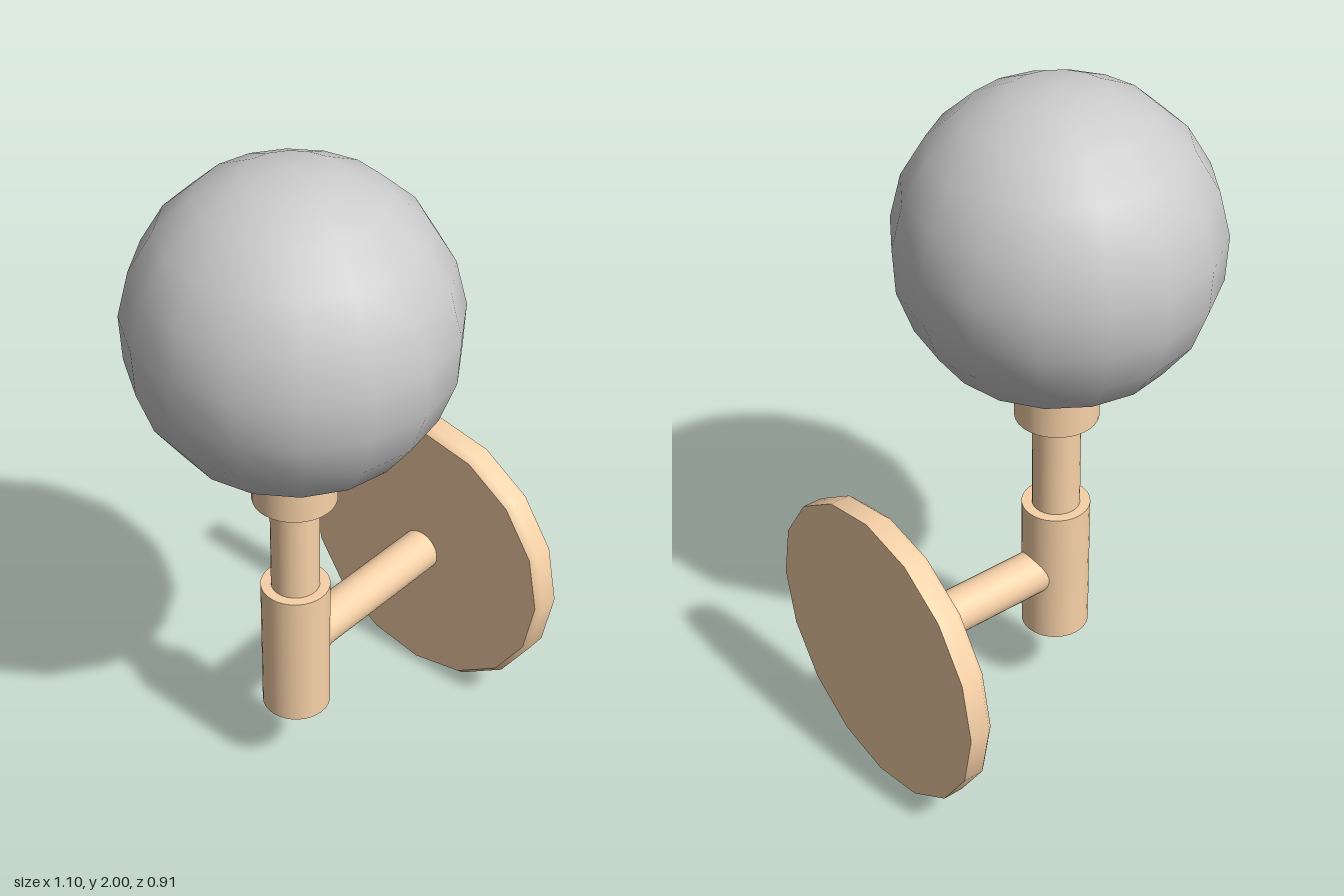
import * as THREE from 'three';

const BRASS = new THREE.MeshStandardMaterial({ color: 0xf8d2a8, side: THREE.DoubleSide });
const GLASS = new THREE.MeshStandardMaterial({ color: 0xcccccc, side: THREE.DoubleSide });
const STEM_X = -0.1; // vertical axis of globe and stem
const ARM_Y = 0.457; // horizontal axis of arm and wall plate
const R = 0.453; // globe and plate radius

function add(group, name, geometry, material, x, y) {
  const mesh = new THREE.Mesh(geometry, material);
  mesh.name = name;
  mesh.position.set(x, y, 0);
  group.add(mesh);
  return mesh;
}

// upright cylinder between two heights on the stem axis
function post(group, name, radius, y0, y1) {
  add(group, name, new THREE.CylinderGeometry(radius, radius, y1 - y0, 32), BRASS, STEM_X, (y0 + y1) / 2);
}

export function createModel() {
  const lamp = new THREE.Group();
  lamp.name = 'wallLamp';

  // globe, open at the bottom where the holder takes over
  add(lamp, 'globe', new THREE.SphereGeometry(R, 16, 8, 0, Math.PI * 2, 0, Math.PI * 0.75), GLASS, STEM_X, 2 - R);

  // flared holder under the globe
  const holder = [[0.12, 1.1], [R * Math.SQRT1_2, 2 - R * (1 + Math.SQRT1_2)]];
  add(lamp, 'globeHolder', new THREE.LatheGeometry(holder.map(p => new THREE.Vector2(...p)), 16), BRASS, STEM_X, 0);

  // collar, stem and lower body
  post(lamp, 'collar', 0.12, 0.99, 1.1);
  post(lamp, 'stem', 0.07, 0.66, 1.0);
  post(lamp, 'body', 0.1, 0.243, 0.682);

  // arm from the body to the wall plate
  const arm = add(lamp, 'arm', new THREE.CylinderGeometry(0.065, 0.065, 0.59, 32), BRASS, 0.195, ARM_Y);
  arm.rotation.z = Math.PI / 2;

  // wall plate with a bevelled inner rim; doubled points keep edges sharp
  const plate = [[0, 0], [R, 0], [R, 0], [R, 0.06], [R - 0.016, 0.077], [R - 0.016, 0.077], [0, 0.077]];
  const disc = add(lamp, 'wallPlate', new THREE.LatheGeometry(plate.map(p => new THREE.Vector2(...p)), 16), BRASS, 0.553, ARM_Y);
  disc.rotation.z = Math.PI / 2;

  return lamp;
}
